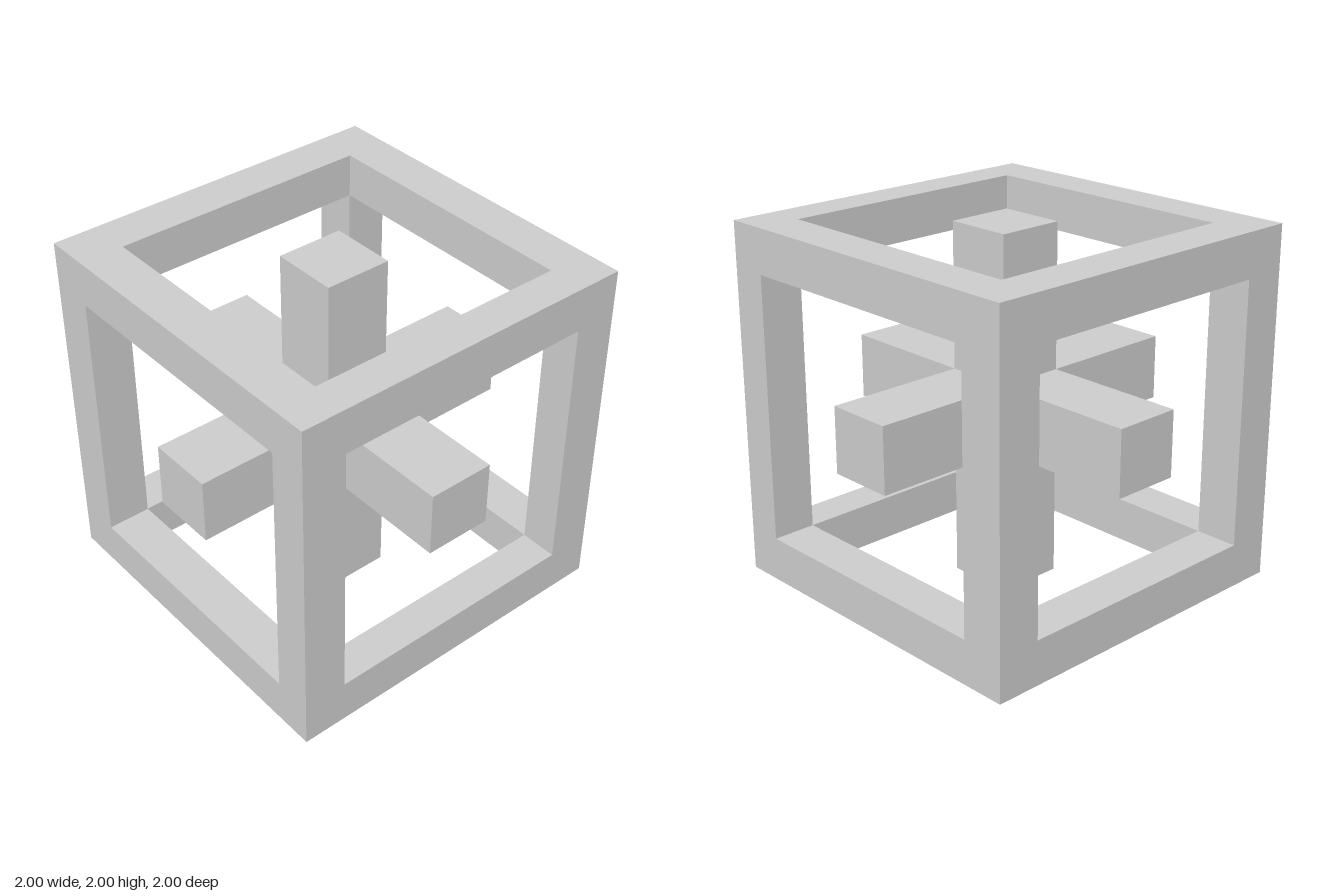
import * as THREE from 'three';

const material = new THREE.MeshStandardMaterial({ color: 0xcccccc, flatShading: true });

// Inner limits of the cage opening and of the cross arms, [min, max] per axis
const OPEN = { x: [-0.75, 0.75], y: [0.25, 1.75], z: [-0.75, 0.785] };
const ARM = { x: [-0.195, 0.19], y: [0.82, 1.19], z: [-0.175, 0.206] };

function add(group, name, geometry) {
  const mesh = new THREE.Mesh(geometry, material);
  mesh.name = name;
  group.add(mesh);
}

// Box given by its limits along each axis
function boxBetween([x0, x1], [y0, y1], [z0, z1]) {
  return new THREE.BoxGeometry(x1 - x0, y1 - y0, z1 - z0)
    .translate((x0 + x1) / 2, (y0 + y1) / 2, (z0 + z1) / 2);
}

function extrudeBetween(shape, [z0, z1]) {
  return new THREE.ExtrudeGeometry(shape, { depth: z1 - z0, bevelEnabled: false })
    .translate(0, 0, z0);
}

function points(list) {
  return list.map(([x, y]) => new THREE.Vector2(x, y));
}

function rectangle([x0, x1], [y0, y1]) {
  return points([[x0, y0], [x1, y0], [x1, y1], [x0, y1]]);
}

function createCage() {
  const cage = new THREE.Group();
  cage.name = 'cubeFrame';

  // Square frames at the front and back
  const frame = new THREE.Shape(rectangle([-1, 1], [0, 2]));
  frame.holes.push(new THREE.Path(rectangle(OPEN.x, OPEN.y)));
  add(cage, 'frontFrame', extrudeBetween(frame, [OPEN.z[1], 1]));
  add(cage, 'backFrame', extrudeBetween(frame, [-1, OPEN.z[0]]));

  // Four edge bars joining them
  const sides = { right: [-1, OPEN.x[0]], left: [OPEN.x[1], 1] };
  const levels = { lower: [0, OPEN.y[0]], upper: [OPEN.y[1], 2] };
  for (const [level, y] of Object.entries(levels)) {
    for (const [side, x] of Object.entries(sides)) {
      const sideName = side[0].toUpperCase() + side.slice(1);
      add(cage, `${level}${sideName}Bar`, boxBetween(x, y, OPEN.z));
    }
  }
  return cage;
}

function createCross() {
  const cross = new THREE.Group();
  cross.name = 'innerCross';
  const [x0, x1] = ARM.x;
  const [y0, y1] = ARM.y;

  // Upright and sideways arms as one plus shape
  const plus = new THREE.Shape(points([
    [x0, 0], [x1, 0], [x1, y0], [1, y0], [1, y1], [x1, y1],
    [x1, 2], [x0, 2], [x0, y1], [-1, y1], [-1, y0], [x0, y0],
  ]));
  add(cross, 'uprightAndSideArms', extrudeBetween(plus, ARM.z));

  // Front and back arms
  add(cross, 'frontArm', boxBetween(ARM.x, ARM.y, [ARM.z[1], 1]));
  add(cross, 'backArm', boxBetween(ARM.x, ARM.y, [-1, ARM.z[0]]));
  return cross;
}

export function createModel() {
  const model = new THREE.Group();
  model.name = 'cubeFrameWithCross';
  model.add(createCage(), createCross());
  return model;
}
